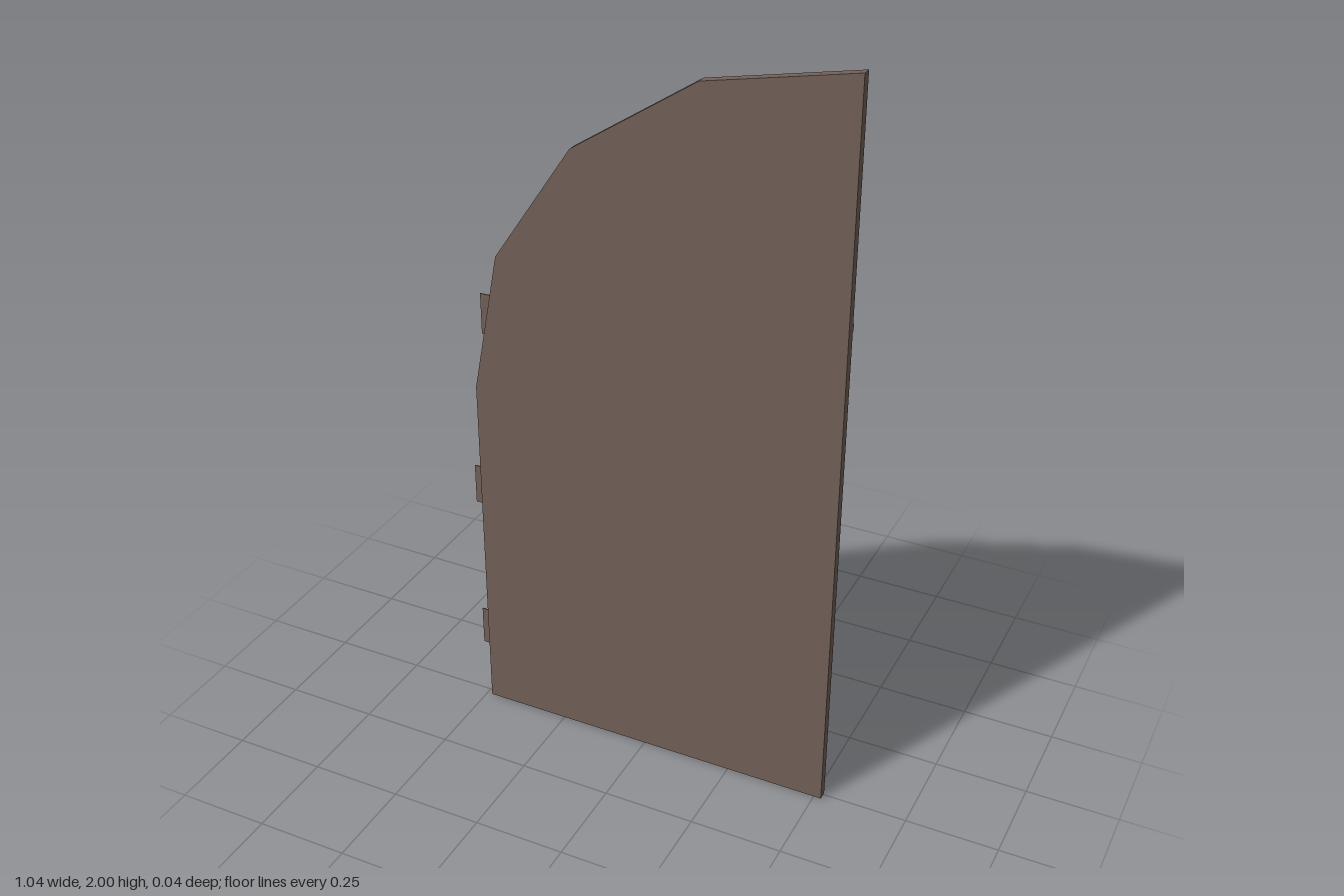
import * as THREE from 'three';

export function createModel() {
  const door = new THREE.Group();
  door.name = 'archedDoorLeaf';
  const brown = new THREE.MeshStandardMaterial({ color: 0x716056 });
  brown.name = 'weatheredBrown';
  const BACK = -0.007;

  const add = (parent, geometry, name, x = 0, y = 0, z = 0) => {
    const mesh = new THREE.Mesh(geometry, brown);
    mesh.name = name;
    mesh.position.set(x, y, z);
    parent.add(mesh);
    return mesh;
  };
  const extrude = (shape, depth) =>
    new THREE.ExtrudeGeometry(shape, { depth, bevelEnabled: false });

  // Half-arch panel
  const outline = [
    [-0.485, 0], [0.52, 0], [0.52, 2], [0.135, 1.922],
    [-0.195, 1.705], [-0.41, 1.385], [-0.485, 1],
  ].map(([x, y]) => new THREE.Vector2(x, y));
  add(door, extrude(new THREE.Shape(outline), 0.025), 'panel', 0, 0, BACK);

  // Raised seam across the back, at the foot of the arch
  add(door, new THREE.BoxGeometry(0.927, 0.018, 0.005), 'seamStrip', 0.0565, 1.384, -0.0092);

  // Faceted rivet heads, pointing to the back
  const rivet = (parent, radius, x, y, baseZ, tipZ) => {
    const h = baseZ - tipZ;
    const g = new THREE.CylinderGeometry(radius * 0.6, radius, h, 8);
    g.rotateX(-Math.PI / 2);
    add(parent, g.toNonIndexed(), 'rivet', x, y, (baseZ + tipZ) / 2)
      .geometry.computeVertexNormals();
  };

  const rivets = [[0.163, 1.865], [-0.016, 1.76], [-0.182, 1.645], [0.4, 1.915]];
  for (const x of [0.4, 0.163, -0.076, -0.315]) {
    for (const y of [1.468, 1.35, 0.04]) {
      if (y !== 1.468 || x > -0.3) rivets.push([x, y]);
    }
  }
  for (const y of [1.03, 0.89, 0.52, 0.38]) rivets.push([-0.325, y]);
  for (const [x, y] of rivets) rivet(door, 0.012, x, y, BACK + 0.001, -0.012);

  // Strap hinge: upper half of the outline, then mirrored
  const half = new THREE.Path();
  half.moveTo(0, 0.057);
  half.lineTo(0.075, 0.057);
  half.quadraticCurveTo(0.088, 0.03, 0.115, 0.026);
  // large curl
  half.bezierCurveTo(0.135, 0.04, 0.115, 0.1, 0.185, 0.1);
  half.bezierCurveTo(0.225, 0.1, 0.25, 0.075, 0.235, 0.052);
  half.bezierCurveTo(0.225, 0.075, 0.185, 0.085, 0.178, 0.06);
  half.quadraticCurveTo(0.175, 0.035, 0.215, 0.026);
  // strap
  half.lineTo(0.7, 0.018);
  // small curl
  half.quadraticCurveTo(0.745, 0.025, 0.735, 0.045);
  half.quadraticCurveTo(0.72, 0.055, 0.7, 0.043);
  half.bezierCurveTo(0.705, 0.075, 0.765, 0.078, 0.775, 0.03);
  half.lineTo(0.79, 0.018);
  // pointed bud
  half.quadraticCurveTo(0.81, 0.042, 0.83, 0.022);
  half.quadraticCurveTo(0.842, 0.008, 0.865, 0);
  const top = half.getPoints(6);
  const bottom = top.slice(0, -1).reverse().map((p) => new THREE.Vector2(p.x, -p.y));
  const hingeGeometry = extrude(new THREE.Shape([...top, ...bottom]), 0.003);

  for (const [x, y, name] of [
    [-0.523, 0.209, 'lowerHinge'],
    [-0.523, 0.678, 'middleHinge'],
    [-0.48, 1.198, 'upperHinge'],
  ]) {
    const hinge = new THREE.Group();
    hinge.name = name;
    hinge.position.set(x, y, 0);
    add(hinge, hingeGeometry, 'strap', 0, 0, -0.0185);
    for (const rx of [0.3, 0.545, 0.722]) rivet(hinge, 0.016, rx, 0, BACK + 0.001, -0.022);
    door.add(hinge);
  }
  return door;
}
